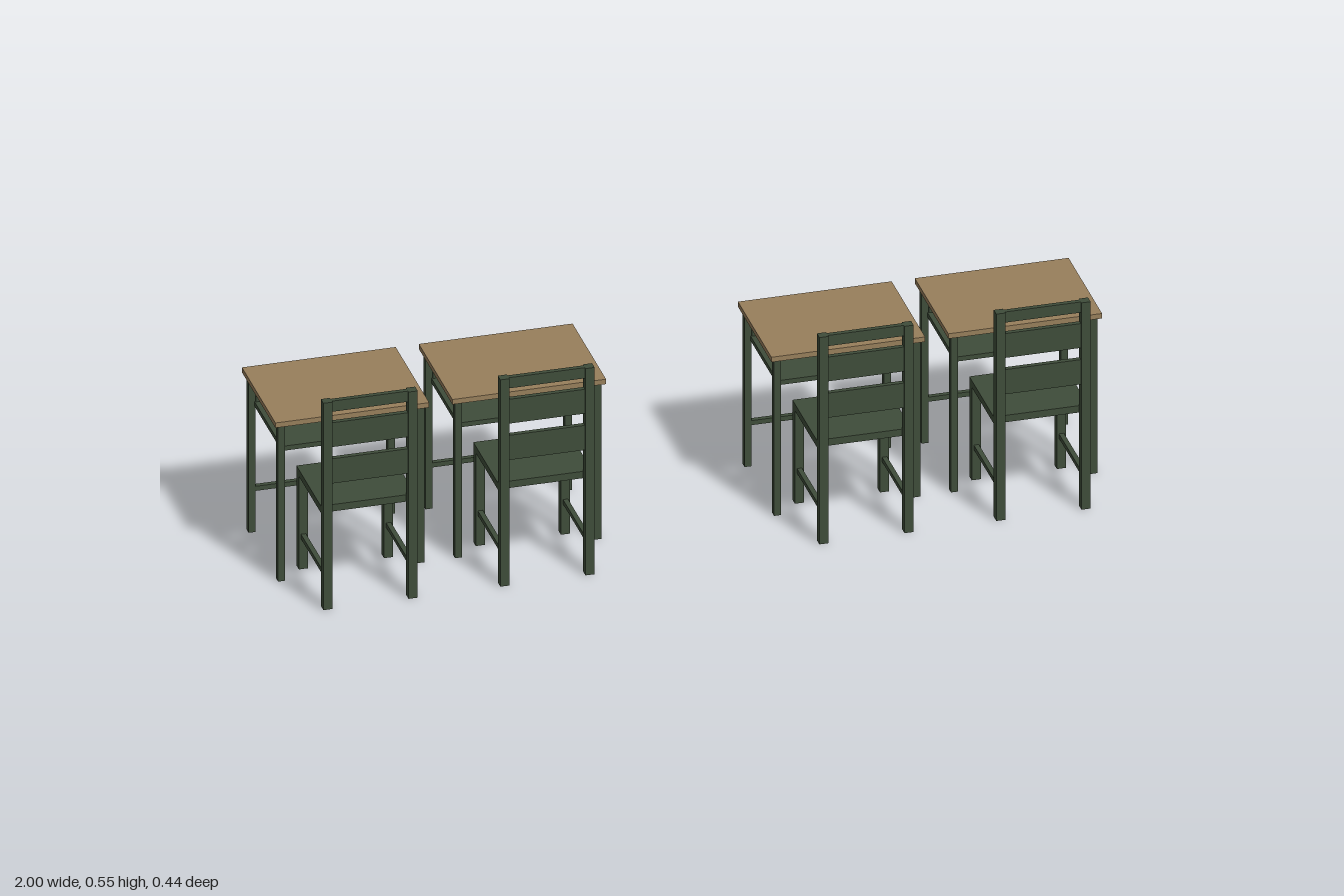
import * as THREE from 'three';

const green = new THREE.MeshStandardMaterial({ color: 0x3f4d3a });
green.name = 'green paint';
const wood = new THREE.MeshStandardMaterial({ color: 0x987f5c });
wood.name = 'wood';

// Box given by its min and max extents on each axis
function box(parent, name, material, [x0, x1], [y0, y1], [z0, z1]) {
  const mesh = new THREE.Mesh(new THREE.BoxGeometry(x1 - x0, y1 - y0, z1 - z0), material);
  mesh.position.set((x0 + x1) / 2, (y0 + y1) / 2, (z0 + z1) / 2);
  mesh.name = name;
  parent.add(mesh);
}

// Extent of a left or right part, mirrored by side
const sideSpan = (side, inner, outer) => (side > 0 ? [inner, outer] : [-outer, -inner]);

function createDesk() {
  const desk = new THREE.Group();
  desk.name = 'desk';
  box(desk, 'deskTop', wood, [-0.186, 0.186], [0.411, 0.424], [-0.221, 0.066]);
  for (const side of [-1, 1]) {
    const x = sideSpan(side, 0.16, 0.177);
    box(desk, 'deskFrontLeg', green, x, [0, 0.411], [0.04, 0.057]);
    box(desk, 'deskRearLeg', green, x, [0, 0.411], [-0.212, -0.195]);
  }
  // Book shelf, closed at the rear by a panel
  box(desk, 'shelf', green, [-0.163, 0.163], [0.332, 0.344], [-0.194, 0.037]);
  box(desk, 'rearPanel', green, [-0.16, 0.16], [0.332, 0.411], [-0.205, -0.192]);
  box(desk, 'footBar', green, [-0.16, 0.16], [0.107, 0.119], [-0.209, -0.197]);
  return desk;
}

function createChair() {
  const chair = new THREE.Group();
  chair.name = 'chair';
  box(chair, 'seat', green, [-0.114, 0.114], [0.245, 0.263], [-0.009, 0.2]);
  for (const side of [-1, 1]) {
    const x = sideSpan(side, 0.092, 0.114);
    box(chair, 'backPost', green, x, [0, 0.545], [0.2, 0.222]);
    box(chair, 'chairFrontLeg', green, x, [0, 0.245], [-0.009, 0.012]);
    box(chair, 'sideStretcher', green, sideSpan(side, 0.097, 0.109), [0.08, 0.092], [0.012, 0.2]);
  }
  // Backrest slats, from top to bottom
  for (const y of [[0.517, 0.545], [0.424, 0.488], [0.328, 0.393]]) {
    box(chair, 'backSlat', green, [-0.092, 0.092], y, [0.205, 0.217]);
  }
  return chair;
}

export function createModel() {
  const model = new THREE.Group();
  model.name = 'classroomDesks';
  // Two pairs of desks with an aisle between
  for (const x of [-0.814, -0.386, 0.386, 0.814]) {
    const place = new THREE.Group();
    place.name = 'deskAndChair';
    place.position.x = x;
    place.add(createDesk(), createChair());
    model.add(place);
  }
  return model;
}
